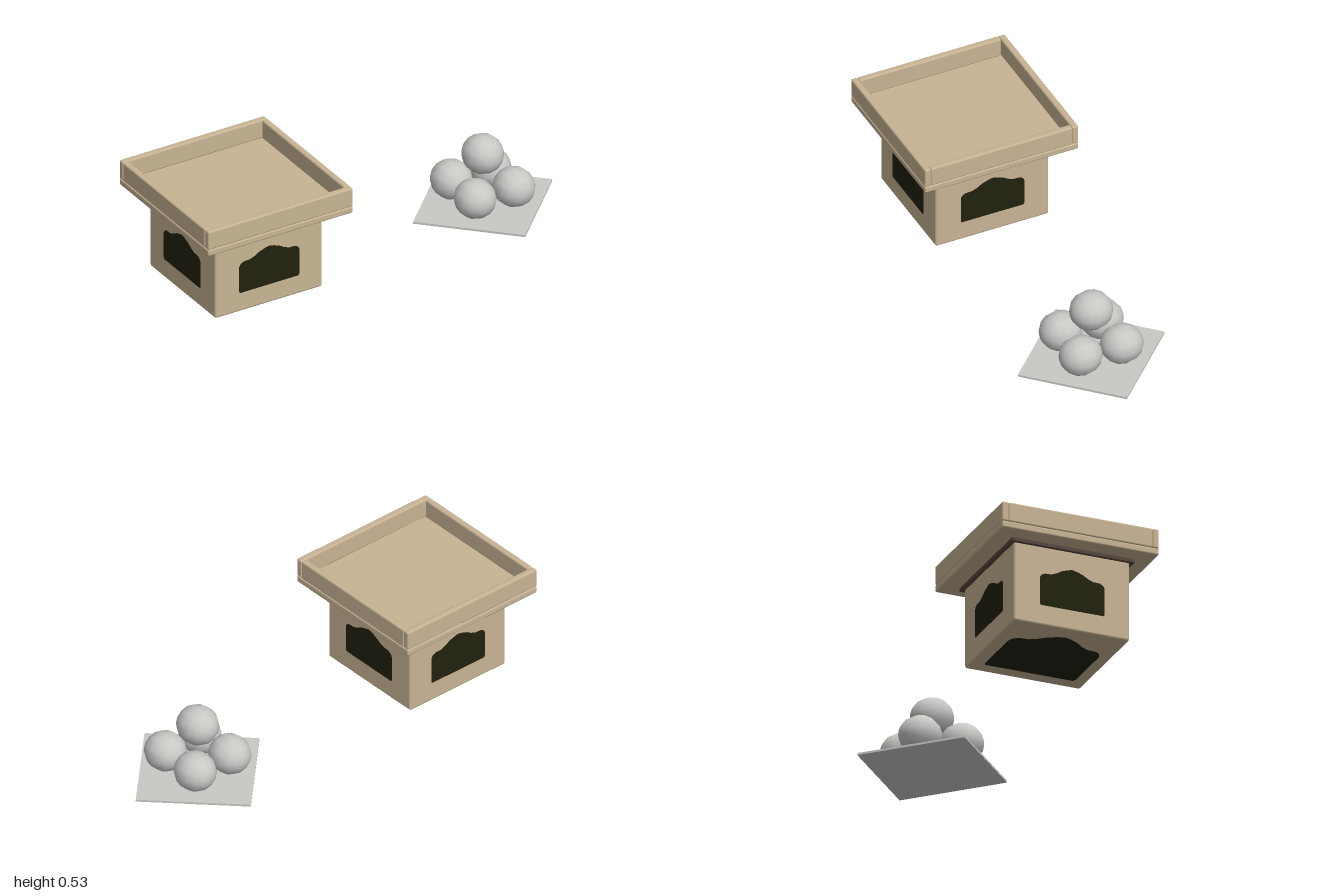
import * as THREE from 'three';
import { RoundedBoxGeometry } from 'three/addons/geometries/RoundedBoxGeometry.js';

const mat = (name, color, side = THREE.FrontSide) => {
  const m = new THREE.MeshStandardMaterial({ color, side });
  m.name = name;
  return m;
};

export function createModel() {
  const sandstone = mat('sandstone', 0xc8b494);
  const darkTrim = mat('dark trim', 0x56473d);
  const opening = mat('dark opening', 0x21210f, THREE.DoubleSide);
  const stone = mat('grey stone', 0xc9c8c5);

  const add = (parent, name, geometry, material, x = 0, y = 0, z = 0) => {
    const mesh = new THREE.Mesh(geometry, material);
    mesh.name = name;
    mesh.position.set(x, y, z);
    parent.add(mesh);
    return mesh;
  };
  // Soft-edged block given by its vertical extent
  const block = (parent, name, w, y0, y1, d, x = 0, z = 0, r = 0.008) =>
    add(parent, name, new RoundedBoxGeometry(w, y1 - y0, d, 2, r), sandstone, x, (y0 + y1) / 2, z);

  const model = new THREE.Group();
  model.name = 'towerAndStones';

  // Square tower with a walled roof tray
  const tower = new THREE.Group();
  tower.name = 'tower';
  tower.position.x = -0.627;
  model.add(tower);
  block(tower, 'towerBody', 0.552, 0.01, 0.395, 0.552, 0, 0, 0.011);
  add(tower, 'neckTrim', new THREE.BoxGeometry(0.584, 0.018, 0.584), darkTrim, 0, 0.395, 0);
  block(tower, 'roofSlab', 0.746, 0.402, 0.435, 0.75);
  for (const s of [-1, 1]) {
    block(tower, s > 0 ? 'frontParapet' : 'backParapet', 0.746, 0.434, 0.527, 0.031, 0, s * 0.3595);
    block(tower, s > 0 ? 'leftParapet' : 'rightParapet', 0.03, 0.434, 0.527, 0.69, s * 0.358, 0);
  }

  // Arched openings, centred on their own middle
  const half = [[0.15, -0.098], [0.155, -0.09], [0.155, 0.035], [0.147, 0.049], [0.13, 0.057],
    [0.1, 0.058], [0.075, 0.068], [0.05, 0.083], [0.025, 0.092]];
  const outline = [...half, [0, 0.098], ...half.map(([x, y]) => [-x, y]).reverse()];
  const arch = new THREE.ShapeGeometry(new THREE.Shape(outline.map(([x, y]) => new THREE.Vector2(x, y))));
  ['front', 'left', 'back', 'right'].forEach((side, i) => {
    const a = i * Math.PI / 2;
    add(tower, side + 'Opening', arch, opening, Math.sin(a) * 0.278, 0.203, Math.cos(a) * 0.278).rotation.y = a;
  });

  // Larger opening under the floor, its peak pointing to the right side
  const under = add(tower, 'floorOpening', arch, opening, 0, 0.008, 0);
  under.quaternion.setFromRotationMatrix(new THREE.Matrix4().makeBasis(
    new THREE.Vector3(0, 0, 1), new THREE.Vector3(-1, 0, 0), new THREE.Vector3(0, -1, 0)));
  under.scale.set(1.4, 2.05, 1);

  // Diamond plate carrying a pyramid of five balls
  const pile = new THREE.Group();
  pile.name = 'stonePile';
  pile.position.x = 0.641;
  model.add(pile);
  add(pile, 'plate', new THREE.CylinderGeometry(0.358, 0.358, 0.01, 4).toNonIndexed(), stone, 0, 0.005, 0);
  const ball = new THREE.SphereGeometry(0.098, 12, 8);
  ball.rotateX(Math.PI / 2);
  ball.scale(0.96, 0.925, 1);
  for (const x of [-0.1, 0.1]) {
    for (const z of [-0.1, 0.1]) add(pile, 'lowerBall', ball, stone, x, 0.1, z);
  }
  add(pile, 'topBall', ball, stone, 0, 0.248, 0);
  pile.getObjectByName('plate').geometry.computeVertexNormals();

  return model;
}
